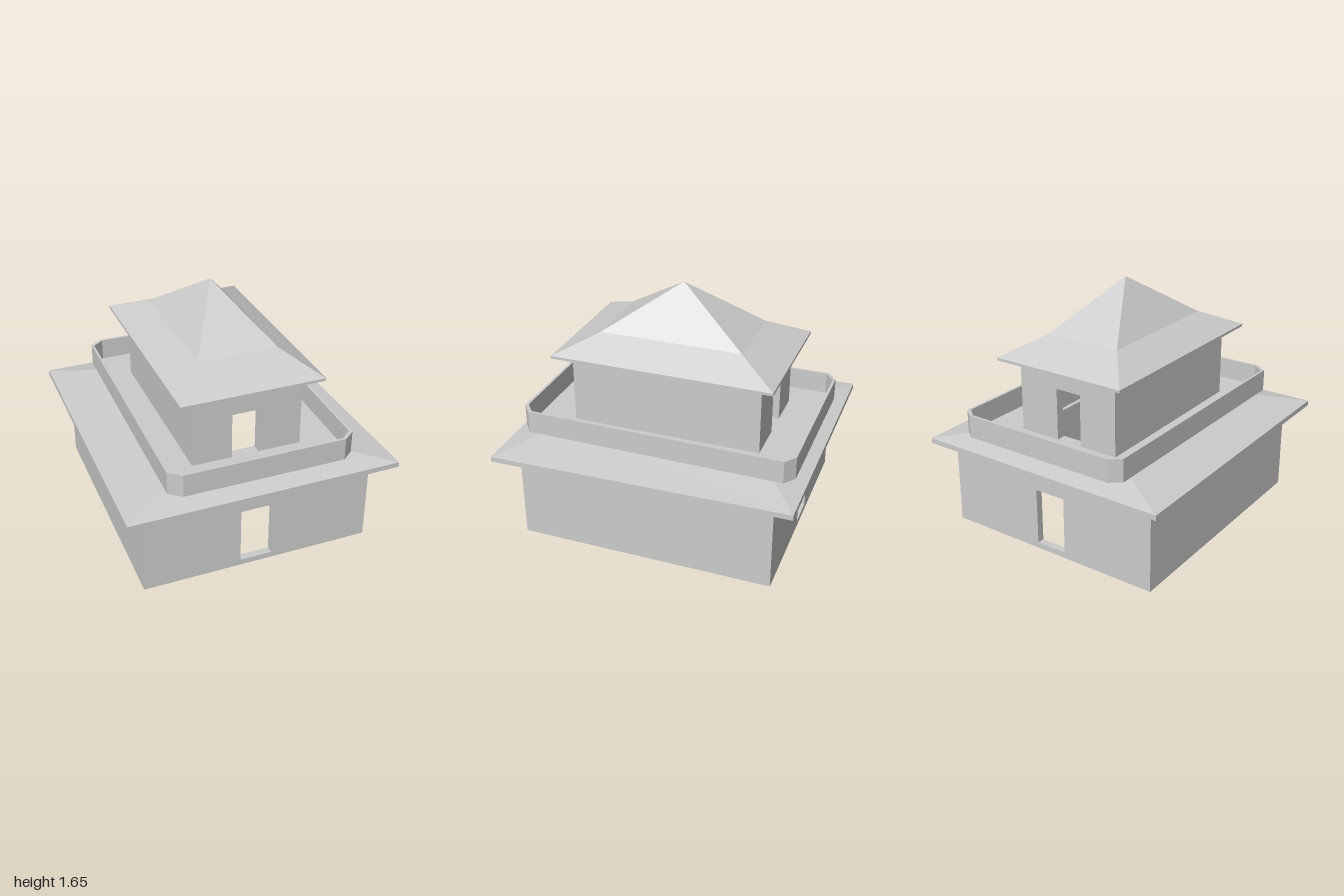
import * as THREE from 'three';

const mat = new THREE.MeshStandardMaterial({ color: 0xcccccc, flatShading: true, side: THREE.DoubleSide });

function part(geometry, name, parent) {
  const mesh = new THREE.Mesh(geometry, mat);
  mesh.name = name;
  parent.add(mesh);
  return mesh;
}

// Rectangular rings [halfX, halfZ, y, skew] joined by quads; skew pulls in the back left corner
function rectLoft(rings) {
  const corners = rings.map(([x, z, y, skew = 0]) => [[x, y, z], [x - skew, y, -z], [-x, y, -z], [-x, y, z]]);
  const pos = [];
  for (let r = 0; r < corners.length - 1; r++) {
    for (let i = 0; i < 4; i++) {
      const j = (i + 1) % 4, a = corners[r], b = corners[r + 1];
      if (rings[r][0] > 0) pos.push(...a[i], ...b[j], ...a[j]);
      if (rings[r + 1][0] > 0) pos.push(...a[i], ...b[i], ...b[j]);
    }
  }
  const g = new THREE.BufferGeometry();
  g.setAttribute('position', new THREE.Float32BufferAttribute(pos, 3));
  g.computeVertexNormals();
  return g;
}

function polygon(points, Type = THREE.Shape) {
  return new Type(points.map(([x, y]) => new THREE.Vector2(x, y)));
}

const rect = (x0, x1, y0, y1) => [[x0, y0], [x1, y0], [x1, y1], [x0, y1]];

// Thin-walled storey with a doorway and inward door lining at the front and back
function storey(name, x0, x1, halfZ, y0, y1, door, depth) {
  const group = new THREE.Group();
  group.name = name;
  const shape = polygon(rect(x0, x1, y0, y1));
  shape.holes.push(polygon(rect(...door), THREE.Path));
  const wall = new THREE.ShapeGeometry(shape);
  const [dx0, dx1, dy0, dy1] = door;
  // open square tube along z
  const lining = new THREE.CylinderGeometry(Math.SQRT1_2, Math.SQRT1_2, 1, 4, 1, true)
    .rotateY(Math.PI / 4).rotateX(Math.PI / 2).scale(dx1 - dx0, dy1 - dy0, depth);
  for (const [end, s] of [['front', 1], ['back', -1]]) {
    const endWall = s > 0 ? wall : wall.clone().scale(-1, 1, 1).rotateY(Math.PI);
    part(endWall, end + 'Wall', group).position.z = s * halfZ;
    part(lining, end + 'DoorLining', group)
      .position.set((dx0 + dx1) / 2, (dy0 + dy1) / 2, s * (halfZ - depth / 2));
  }
  for (const [side, x, s] of [['left', x1, 1], ['right', x0, -1]]) {
    const plane = new THREE.PlaneGeometry(2 * halfZ, y1 - y0).rotateY(s * Math.PI / 2);
    part(plane, side + 'Wall', group).position.set(x, (y0 + y1) / 2, 0);
  }
  return group;
}

// Extrude an (x, -z) plan upwards between two heights
function slab(shape, y0, y1) {
  const g = new THREE.ExtrudeGeometry(shape, { depth: y1 - y0, bevelEnabled: false });
  return g.rotateX(-Math.PI / 2).translate(0, y0, 0);
}

export function createModel() {
  const model = new THREE.Group();
  model.name = 'twoStoreyPavilion';

  model.add(storey('lowerStorey', -0.781, 0.775, 0.86, 0, 0.604, [-0.125, 0.093, 0.04, 0.428], 0.05));
  model.add(storey('upperStorey', -0.373, 0.368, 0.645, 0.7, 1.188, [-0.105, 0.079, 0.7, 1.055], 0.06));

  // Wide lower roof, open in the middle, with a sloping ceiling inside the walls
  part(rectLoft([
    [0.34, 0.58, 0.702], [0.51, 0.73, 0.7], [0.907, 1, 0.638, 0.045], [0.907, 1, 0.603, 0.045],
    [0.778, 0.86, 0.603], [0.34, 0.58, 0.69], [0.34, 0.58, 0.702],
  ]), 'lowerRoof', model);

  // Balcony plan with cut corners, slightly out of square
  const outer = [[-0.53, -0.922], [0.55, -0.922], [0.628, -0.86], [0.642, 0.875],
    [0.567, 0.935], [-0.52, 0.935], [-0.597, 0.875], [-0.612, -0.86]];
  const inner = outer.map(([x, y]) => [x * 0.973, y * 0.981]);
  const parapet = polygon(outer);
  parapet.holes.push(polygon(inner, THREE.Path));
  part(slab(parapet, 0.7, 0.853), 'parapet', model);
  const floor = polygon(inner);
  floor.holes.push(polygon(rect(-0.34, 0.34, -0.58, 0.58), THREE.Path));
  part(slab(floor, 0.7, 0.704), 'balconyFloor', model);

  // Upper roof: steep pyramid over flared eaves
  part(rectLoft([
    [0, 0, 1.65], [0.27, 0.48, 1.335], [0.478, 0.745, 1.21], [0.478, 0.745, 1.192],
    [0.371, 0.645, 1.187],
  ]), 'upperRoof', model);

  return model;
}
